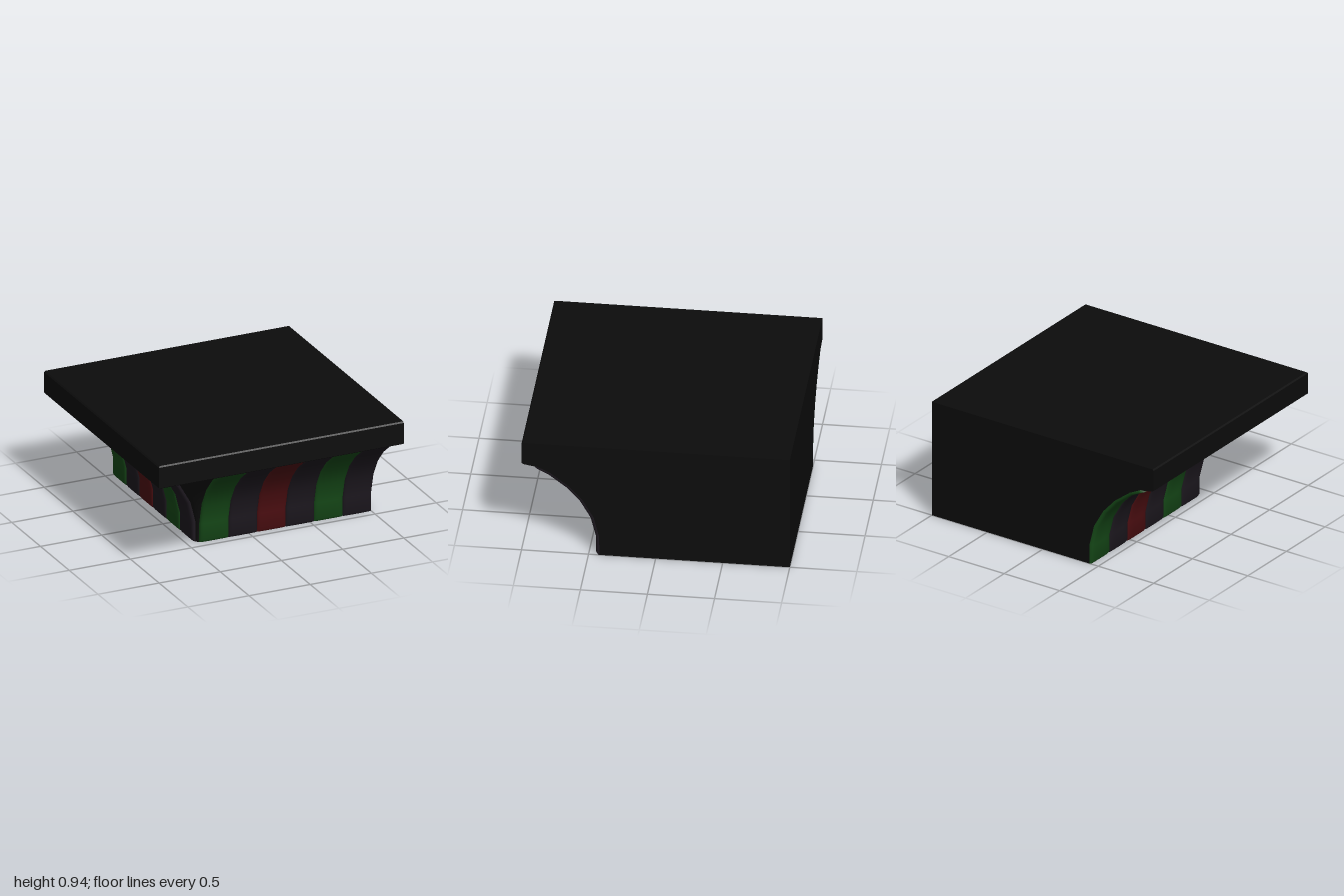
import * as THREE from 'three';
import { toCreasedNormals } from 'three/addons/utils/BufferGeometryUtils.js';

const DEPTH = 0.03;          // how far the ribs stand out of the cove
const INNER = 0.4;           // the rounded corner turns around (-INNER, INNER)
const WIDTH = (1 + INNER) / 6;

// Cove profile: distance outwards, height
const PATH = [
  [0.45, 0], [0.45, 0.15], [0.49, 0.31], [0.57, 0.45], [0.67, 0.56], [0.8, 0.66], [0.92, 0.72],
].map(([f, y]) => new THREE.Vector2(f, y));

// Outward direction (away from the body) at a profile point
function normalAt(i) {
  const a = PATH[Math.max(i - 1, 0)], b = PATH[Math.min(i + 1, PATH.length - 1)];
  const d = b.clone().sub(a).normalize();
  return i === 0 ? new THREE.Vector2(1, 0) : new THREE.Vector2(d.y, -d.x);
}

function makeGeometry(pos, index, crease) {
  const g = new THREE.BufferGeometry();
  g.setAttribute('position', new THREE.Float32BufferAttribute(pos, 3));
  g.setIndex(index);
  return toCreasedNormals(g, crease);
}

// Stack of closed outlines, one per [reach, height], capped at both ends
function loft(profile, outline) {
  const pos = [], index = [];
  let n = 0;
  for (const [f, y] of profile) {
    const ring = outline(f);
    n = ring.length;
    for (const [x, z] of ring) pos.push(x, y, z);
  }
  const last = (profile.length - 1) * n;
  const low = pos.length / 3;
  pos.push(0.2, profile[0][1], -0.2, 0.2, profile[profile.length - 1][1], -0.2);
  for (let i = 0; i < n; i++) {
    const j = (i + 1) % n;
    for (let r = 0; r < last; r += n) {
      index.push(r + i, r + n + i, r + j, r + j, r + n + i, r + n + j);
    }
    index.push(low, i, j, low + 1, last + j, last + i);
  }
  return makeGeometry(pos, index, 0.5);
}

// Flat at the back and +x side, square front corner
const squareOutline = (f) => [[1, f], [-f, f], [-f, -1], [1, -1]];

// Same, with the front corner turned around the inner point
function roundOutline(f) {
  const pts = [[1, f]], r = f - INNER, steps = 10;
  for (let i = 0; i <= steps; i++) {
    const a = (i / steps) * Math.PI / 2;
    pts.push([-INNER - r * Math.sin(a), INNER + r * Math.cos(a)]);
  }
  pts.push([-f, -1], [1, -1]);
  return pts;
}

// Padded rib that climbs the cove, with rounded long edges and tip
function ribGeometry() {
  const half = WIDTH / 2;
  const section = [[-1, 0], [-0.99, 0.45], [-0.93, 0.75], [-0.8, 0.93], [-0.4, 1],
    [0.4, 1], [0.8, 0.93], [0.93, 0.75], [0.99, 0.45], [1, 0]];
  const rows = [{ p: PATH[0], n: normalAt(0), k: 0 }, { p: PATH[0], n: normalAt(0), k: 0.5 },
    { p: new THREE.Vector2(0.45, 0.02), n: normalAt(0), k: 1 }];
  for (let i = 1; i < PATH.length; i++) rows.push({ p: PATH[i], n: normalAt(i), k: 1 });
  const end = PATH.length - 1;
  rows.push({ p: PATH[end], n: normalAt(end), k: 0 });

  const back = PATH[end - 1].clone().sub(PATH[end]).normalize();
  const pos = [], index = [], cols = section.length;
  rows.forEach(({ p, n, k }, r) => {
    for (const [t, h] of section) {
      const q = p.clone().addScaledVector(n, DEPTH * (h * k - 1));
      if (r >= rows.length - 2) q.addScaledVector(back, 0.06 * t ** 4);
      pos.push(t * half, q.y, q.x);
    }
  });
  for (let r = 0; r < rows.length - 1; r++) {
    for (let c = 0; c < cols - 1; c++) {
      const a = r * cols + c, d = a + cols;
      index.push(a, a + 1, d, a + 1, d + 1, d);
    }
  }
  return makeGeometry(pos, index, 0.9);
}

export function createModel() {
  const model = new THREE.Group();
  model.name = 'corniceCorner';
  const mat = (color, side = THREE.FrontSide) => new THREE.MeshStandardMaterial({ color, side });
  const black = mat(0x0c0c0c);
  const green = mat(0x164a18, THREE.DoubleSide);
  const red = mat(0x4f0f12, THREE.DoubleSide);
  const dark = mat(0x1e1920, THREE.DoubleSide);

  // Body with the cove
  const cove = PATH.map((p, i) => p.clone().addScaledVector(normalAt(i), -DEPTH).toArray());
  const body = new THREE.Mesh(loft(cove, roundOutline), black);
  body.name = 'coveBody';
  model.add(body);

  // Overhanging top slab with a sloping lip
  const slab = new THREE.Mesh(
    loft([[0.9, 0.735], [0.985, 0.75], [1, 0.76], [1, 0.925], [0.99, 0.935]], squareOutline), black);
  slab.name = 'topSlab';
  model.add(slab);

  // Six ribs along each coved side, left to right
  const geometry = ribGeometry();
  const colors = [green, dark, red, dark, green, dark];
  for (const [name, start, turn] of [['frontRibs', -INNER, 0], ['sideRibs', -1, -Math.PI / 2]]) {
    const ribs = new THREE.Group();
    ribs.name = name;
    colors.forEach((material, i) => {
      const rib = new THREE.Mesh(geometry, material);
      rib.name = 'rib';
      rib.position.x = start + (i + 0.5) * WIDTH;
      ribs.add(rib);
    });
    ribs.rotation.y = turn;
    model.add(ribs);
  }
  return model;
}
